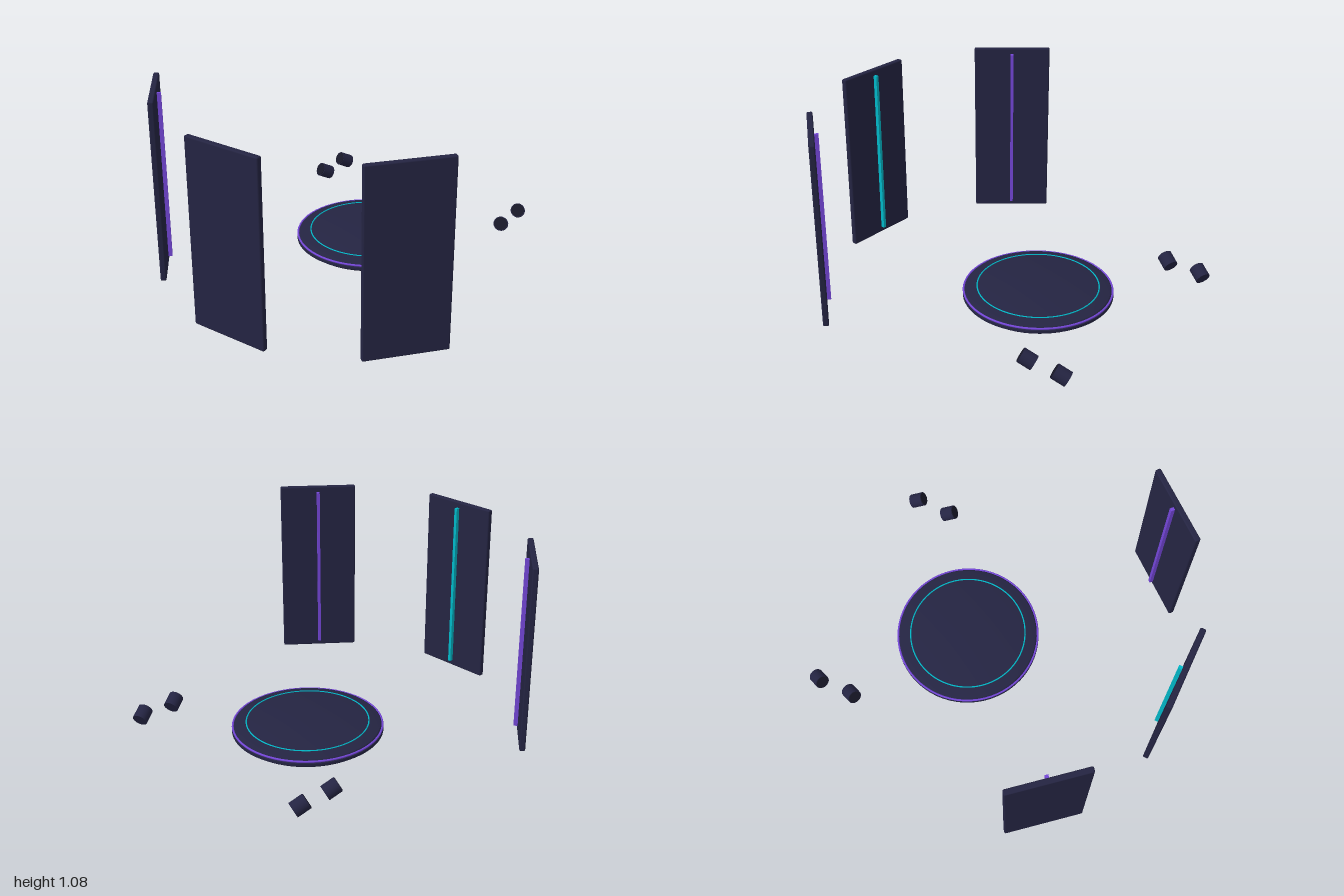
import * as THREE from 'three';
import { toCreasedNormals } from 'three/addons/utils/BufferGeometryUtils.js';
import { RoundedBoxGeometry } from 'three/addons/geometries/RoundedBoxGeometry.js';

const material = (name, color) => {
  const m = new THREE.MeshStandardMaterial({ color });
  m.name = name;
  return m;
};

export function createModel() {
  const navy = material('navy', 0x242442);
  const dark = material('dark navy', 0x181828);
  const cyan = material('cyan', 0x00b8c8);
  const purple = material('purple', 0x7446d8);

  const model = new THREE.Group();
  model.name = 'stageSet';

  const add = (parent, name, geometry, mat, x = 0, y = 0, z = 0) => {
    const mesh = new THREE.Mesh(geometry, mat);
    mesh.name = name;
    mesh.position.set(x, y, z);
    parent.add(mesh);
    return mesh;
  };

  // Round platform with bevelled rim
  const platform = new THREE.Group();
  platform.name = 'platform';
  platform.position.z = -0.285;
  model.add(platform);
  const profile = [[0, 0.022], [0.395, 0.022], [0.427, 0.045], [0.427, 0.06], [0.41, 0.078], [0.355, 0.092], [0, 0.092]]
    .map(([r, y]) => new THREE.Vector2(r, y));
  add(platform, 'platformBody', toCreasedNormals(new THREE.LatheGeometry(profile, 64), 0.4), navy);

  // Glowing rings: one around the rim, one on the deck
  const ring = (name, radius, tube, y, mat) => {
    const geometry = new THREE.TorusGeometry(radius, tube, 8, 64).rotateX(Math.PI / 2);
    add(platform, name, geometry, mat, 0, y, 0);
  };
  ring('rimRing', 0.421, 0.006, 0.07, purple);
  ring('deckRing', 0.345, 0.004, 0.092, cyan);

  // Upright panels, each with a light strip on the side facing the platform
  const panelGeometry = new RoundedBoxGeometry(0.465, 1.08, 0.033, 2, 0.008);
  const stripGeometry = new THREE.BoxGeometry(0.018, 1.01, 0.024);
  const panels = [
    ['frontPanel', 0, 0.983, 0, cyan],
    ['leftPanel', 0.825, 0.595, 50, purple],
    ['rightPanel', -0.825, 0.595, -50, purple],
  ];
  for (const [name, x, z, degrees, stripMaterial] of panels) {
    const panel = new THREE.Group();
    panel.name = name;
    panel.position.set(x, 0.54, z);
    panel.rotation.y = THREE.MathUtils.degToRad(degrees);
    add(panel, 'board', panelGeometry, navy);
    add(panel, 'lightStrip', stripGeometry, stripMaterial, 0, 0, -0.027);
    model.add(panel);
  }

  // Two tilted floor lamps at each rear corner
  const lampGeometry = new THREE.CylinderGeometry(0.042, 0.042, 0.08, 24);
  const lensGeometry = new THREE.CylinderGeometry(0.038, 0.038, 0.004, 24);
  const up = new THREE.Vector3(0, 1, 0);
  for (const side of [-1, 1]) {
    for (const z of [-0.73, -0.945]) {
      const lamp = new THREE.Group();
      lamp.name = side > 0 ? 'leftLamp' : 'rightLamp';
      lamp.position.set(side * 0.647, 0.128, z);
      lamp.quaternion.setFromUnitVectors(up, new THREE.Vector3(side * 0.4, 0.52, 0.9).normalize());
      add(lamp, 'housing', lampGeometry, navy);
      add(lamp, 'lens', lensGeometry, dark, 0, 0.041, 0);
      model.add(lamp);
    }
  }

  return model;
}
